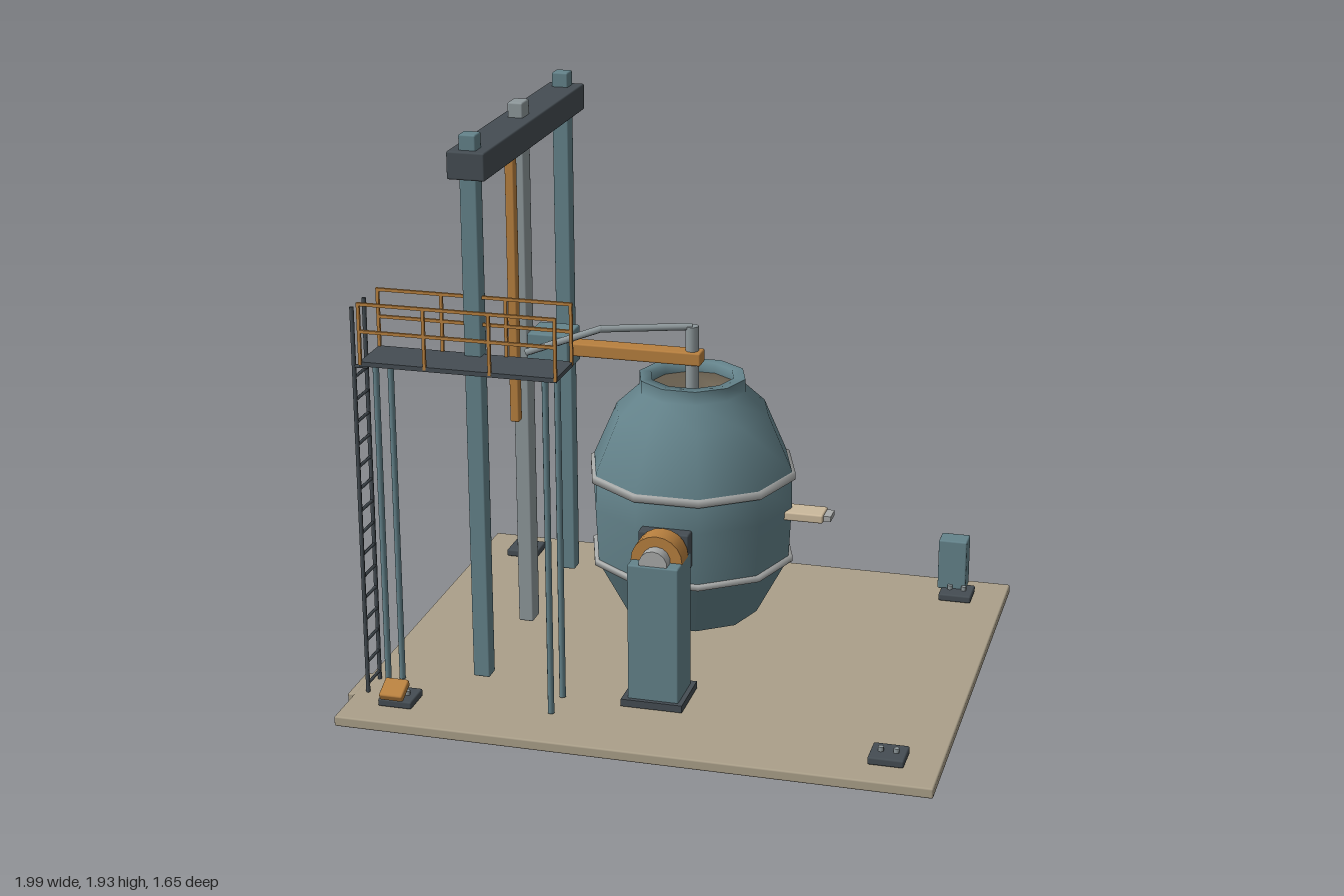
import * as THREE from 'three';
import { RoundedBoxGeometry } from 'three/addons/geometries/RoundedBoxGeometry.js';

const paint = (name, color, side = THREE.FrontSide) => {
  const m = new THREE.MeshStandardMaterial({ color, side });
  m.name = name;
  return m;
};

export function createModel() {
  const teal = paint('teal paint', 0x64838b);
  const dark = paint('dark steel', 0x454d53);
  const steel = paint('grey steel', 0x8f999c);
  const pale = paint('pale steel', 0xa9abaa);
  const orange = paint('orange paint', 0xb8803f);
  const tan = paint('concrete', 0xaba08a);
  const cream = paint('refractory lining', 0xcbb99c, THREE.DoubleSide);

  const root = new THREE.Group();
  root.name = 'tiltingFurnace';
  const add = (name, geo, mat, x = 0, y = 0, z = 0, parent = root) => {
    const mesh = new THREE.Mesh(geo, mat);
    mesh.name = name;
    mesh.position.set(x, y, z);
    parent.add(mesh);
    return mesh;
  };
  // Box given by its extents; larger boxes get a small bevel
  const span = (name, mat, x0, x1, y0, y1, z0, z1, parent = root) => {
    const s = [x1 - x0, y1 - y0, z1 - z0];
    const small = Math.min(...s);
    const geo = small > 0.025 ? new RoundedBoxGeometry(...s, 2, 0.006) : new THREE.BoxGeometry(...s);
    return add(name, geo, mat, (x0 + x1) / 2, (y0 + y1) / 2, (z0 + z1) / 2, parent);
  };
  // Cylinder between two points
  const rod = (name, mat, a, b, r, sides = 8, parent = root) => {
    const p = new THREE.Vector3(...a), q = new THREE.Vector3(...b);
    const d = q.clone().sub(p);
    const mesh = add(name, new THREE.CylinderGeometry(r, r, d.length(), sides), mat, 0, 0, 0, parent);
    mesh.position.copy(p).add(q).multiplyScalar(0.5);
    mesh.quaternion.setFromUnitVectors(new THREE.Vector3(0, 1, 0), d.normalize());
    return mesh;
  };
  const group = (name) => {
    const g = new THREE.Group();
    g.name = name;
    root.add(g);
    return g;
  };
  const lathe = (pts) =>
    new THREE.LatheGeometry(pts.map(([r, y]) => new THREE.Vector2(r, y)), 10, Math.PI / 2);

  // Floor slab with a step under the ladder and anchor stubs below
  span('floorSlab', tan, -0.978, 0.992, 0.01, 0.045, -0.823, 0.823);
  span('ladderStep', tan, -1, -0.97, 0.01, 0.045, 0.48, 0.65);
  for (const [x, z] of [[0.01, 0], [0.22, -0.21], [0.01, -0.21]])
    span('anchorStub', dark, x - 0.012, x + 0.012, 0, 0.012, z - 0.008, z + 0.008);

  // Vessel: ten-sided shell, lining, hoops
  const cx = 0.01;
  const vessel = group('vessel');
  add('vesselShell', lathe([[0, 0.205], [0.227, 0.205]]), teal, cx, 0, 0, vessel);
  add('vesselShell', lathe([[0.227, 0.205], [0.325, 0.39], [0.336, 0.42], [0.345, 0.6],
    [0.343, 0.73], [0.262, 0.915], [0.182, 0.99], [0.182, 1.035]]), teal, cx, 0, 0, vessel);
  add('vesselRim', lathe([[0.182, 1.035], [0.142, 1.035], [0.142, 1.0]]), teal, cx, 0, 0, vessel);
  add('vesselLining', lathe([[0.142, 1.0], [0.225, 0.9], [0.3, 0.72], [0.29, 0.42], [0.19, 0.25], [0, 0.25]]),
    cream, cx, 0, 0, vessel);
  const hoop = (y, h, r) => add('vesselHoop',
    lathe([[r - 0.02, y - h], [r, y - h], [r, y + h], [r - 0.02, y + h]]), pale, cx, 0, 0, vessel);
  hoop(0.709, 0.012, 0.356);
  hoop(0.412, 0.009, 0.35);
  rod('drainNozzle', pale, [cx, 0.16, 0], [cx, 0.21, 0], 0.035, 10, vessel);

  // Pouring spout
  span('spout', cream, 0.33, 0.47, 0.564, 0.594, -0.044, 0.044);
  span('spoutTip', pale, 0.465, 0.495, 0.57, 0.588, -0.032, 0.032);

  // Trunnion stands at front and back
  for (const s of [1, -1]) {
    const stand = group(s > 0 ? 'frontTrunnion' : 'backTrunnion');
    const zz = (a, b) => (s > 0 ? [a, b] : [-b, -a]);
    span('standFoot', dark, -0.095, 0.112, 0.05, 0.075, ...zz(0.325, 0.52), stand);
    span('standPost', teal, -0.075, 0.096, 0.07, 0.546, ...zz(0.342, 0.505), stand);
    span('trunnionFlange', dark, -0.075, 0.095, 0.485, 0.612, ...zz(0.31, 0.372), stand);
    rod('bearingCap', orange, [cx, 0.546, s * 0.377], [cx, 0.546, s * 0.455], 0.086, 20, stand);
    rod('trunnionShaft', pale, [cx, 0.55, s * 0.3], [cx, 0.55, s * 0.5], 0.048, 14, stand);
  }

  // Tilt drive drum with rows of studs
  const drive = group('tiltDrive');
  rod('driveDrum', dark, [cx, 0.552, -0.485], [cx, 0.552, -0.582], 0.122, 20, drive);
  for (let i = -2; i <= 2; i++)
    for (let j = -2; j <= 2; j++)
      if (Math.abs(i * j) < 4)
        span('driveStud', dark, cx + i * 0.038 - 0.01, cx + i * 0.038 + 0.01,
          0.552 + j * 0.036 - 0.007, 0.552 + j * 0.036 + 0.007, -0.589, -0.58, drive);

  // Gantry: columns, cross beam, mast and guide rail
  const gantry = group('gantry');
  for (const z of [0.477, -0.477])
    span('gantryColumn', teal, -0.608, -0.551, 0.09, 1.93, z - 0.028, z + 0.028, gantry);
  span('mast', steel, -0.605, -0.553, 0.09, 1.93, -0.036, 0.036, gantry);
  span('crossBeam', dark, -0.64, -0.515, 1.79, 1.88, -0.527, 0.53, gantry);
  span('guideRail', orange, -0.596, -0.564, 0.85, 1.8, 0.072, 0.107, gantry);

  // Lance carriage with arm, lance and feed pipe
  const lance = group('lanceCarriage');
  span('carriage', teal, -0.543, -0.4, 1.032, 1.156, -0.07, 0.07, lance);
  span('lanceArm', orange, -0.41, 0.045, 1.075, 1.12, -0.032, 0.032, lance);
  rod('lancePipe', steel, [cx, 0.98, 0], [cx, 1.205, 0], 0.022, 10, lance);
  const feed = [[-0.54, 1.095, 0.088], [-0.28, 1.198, 0.088], [cx, 1.203, 0]];
  rod('feedPipe', steel, feed[0], feed[1], 0.012, 8, lance);
  rod('feedPipe', steel, feed[1], feed[2], 0.012, 8, lance);
  add('feedElbow', new THREE.SphereGeometry(0.0125, 8, 6), steel, ...feed[1], lance);

  // Access platform: deck, legs and railings
  const platform = group('platform');
  span('deck', dark, -0.908, -0.255, 1.195, 1.21, 0.475, 0.65, platform);
  for (const x of [-0.862, -0.3])
    for (const z of [0.625, 0.5])
      rod('platformLeg', teal, [x, 0.05, z], [x, 1.2, z], 0.011, 8, platform);
  for (const z of [0.647, 0.479]) {
    for (const y of [1.4, 1.31])
      span('rail', orange, -0.91, -0.253, y - 0.005, y + 0.005, z - 0.005, z + 0.005, platform);
    for (let i = 0; i < 4; i++) {
      const x = -0.905 + i * 0.2155;
      span('railPost', orange, x - 0.005, x + 0.005, 1.2, 1.4, z - 0.005, z + 0.005, platform);
    }
  }

  // Ladder
  const ladder = group('ladder');
  for (const z of [0.62, 0.515]) {
    rod('ladderRail', dark, [-0.938, 0.045, z], [-0.938, 1.38, z], 0.007, 6, ladder);
    rod('ladderBracket', dark, [-0.938, 1.185, z], [-0.89, 1.185, z], 0.006, 6, ladder);
  }
  for (let i = 0; i < 15; i++) {
    const y = 0.075 + i * 0.0765;
    rod('ladderRung', dark, [-0.938, y, 0.515], [-0.938, y, 0.62], 0.0055, 6, ladder);
  }

  // Corner pads with anchor bolts
  for (const x of [-0.808, 0.822])
    for (const z of [-0.662, 0.662]) {
      span('cornerPad', dark, x - 0.058, x + 0.058, 0.047, 0.073, z - 0.056, z + 0.056);
      for (const d of [-0.025, 0.025])
        rod('anchorBolt', steel, [x + d, 0.06, z], [x + d, 0.088, z], 0.01, 6);
    }

  // Control cabinet with buttons on its back
  span('cabinet', teal, 0.75, 0.852, 0.068, 0.255, -0.747, -0.668);
  for (const x of [0.775, 0.8, 0.825])
    span('cabinetButton', orange, x - 0.008, x + 0.008, 0.195, 0.211, -0.754, -0.746);

  // Tilted operator panel
  add('operatorPanel', new RoundedBoxGeometry(0.08, 0.026, 0.078, 2, 0.006), orange, -0.785, 0.14, 0.77)
    .rotation.x = 0.42;

  return root;
}
